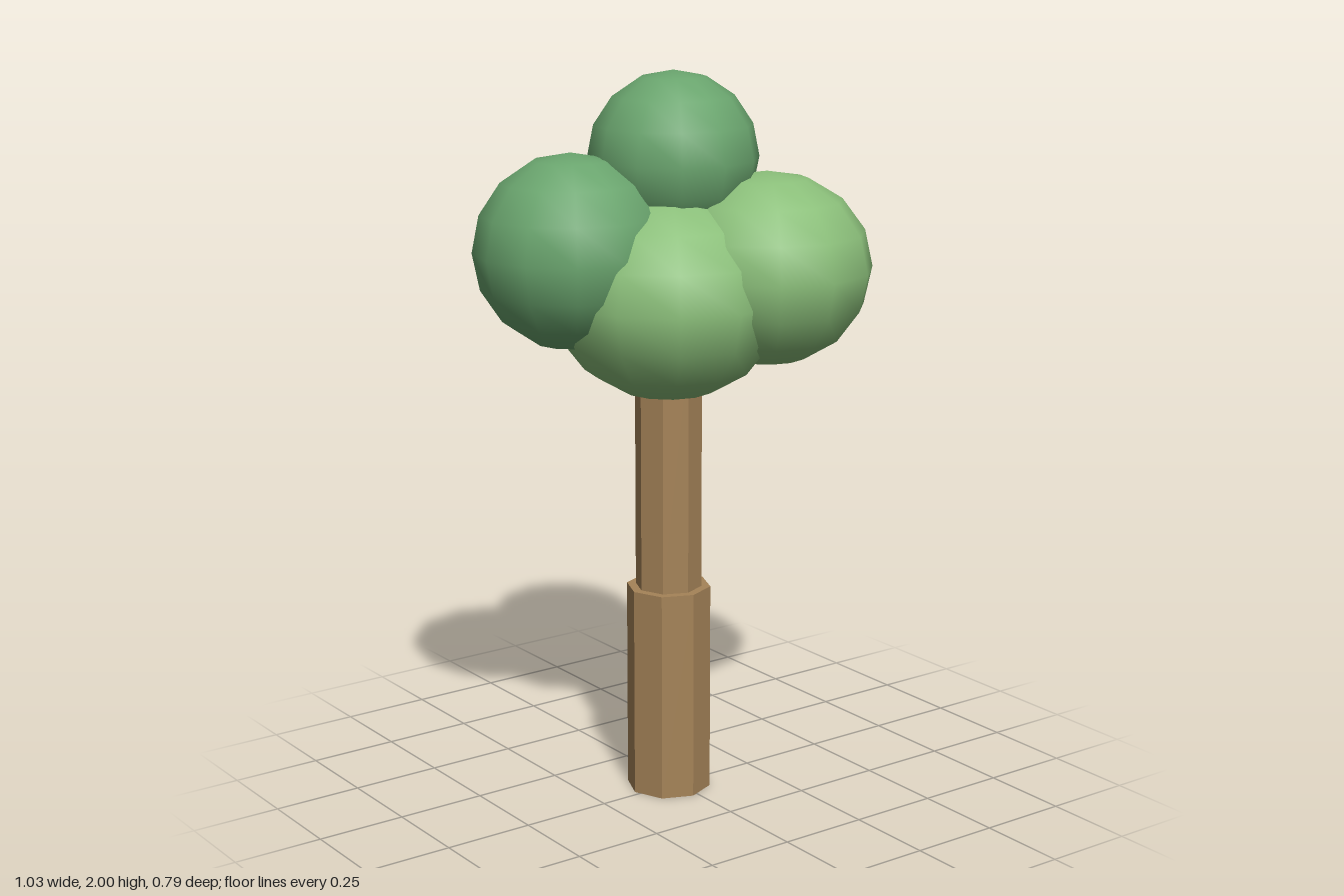
import * as THREE from 'three';

export function createModel() {
  const tree = new THREE.Group();
  tree.name = 'tree';

  const bark = new THREE.MeshStandardMaterial({ color: 0xa58358, flatShading: true });
  const lightLeaf = new THREE.MeshStandardMaterial({ color: 0x8bbf7a });
  const darkLeaf = new THREE.MeshStandardMaterial({ color: 0x6aa56e });

  // Octagonal trunk in two stepped sections; the upper one ends inside the crown
  const trunkX = -0.017, trunkZ = -0.017;
  function addTrunk(name, radius, bottom, top) {
    const mesh = new THREE.Mesh(new THREE.CylinderGeometry(radius, radius, top - bottom, 8), bark);
    mesh.position.set(trunkX, (bottom + top) / 2, trunkZ);
    mesh.name = name;
    tree.add(mesh);
  }
  addTrunk('lowerTrunk', 0.117, 0, 0.59);
  addTrunk('upperTrunk', 0.092, 0.59, 1.25);

  // Crown of overlapping leaf balls, the two lighter ones slightly squashed
  function addLeafBall(name, material, x, y, z, radius, halfHeight) {
    const geometry = new THREE.SphereGeometry(radius, 12, 8);
    geometry.scale(1, halfHeight / radius, 1);
    const mesh = new THREE.Mesh(geometry, material);
    mesh.position.set(x, y, z);
    mesh.name = name;
    tree.add(mesh);
  }
  addLeafBall('centreLeaves', lightLeaf, trunkX, 1.405, trunkZ, 0.323, 0.28);
  addLeafBall('frontLeaves', lightLeaf, 0.22, 1.473, 0.105, 0.291, 0.263);
  addLeafBall('backLeaves', darkLeaf, -0.25, 1.532, -0.135, 0.264, 0.264);
  addLeafBall('topLeaves', darkLeaf, 0.042, 1.767, -0.075, 0.233, 0.233);

  return tree;
}
